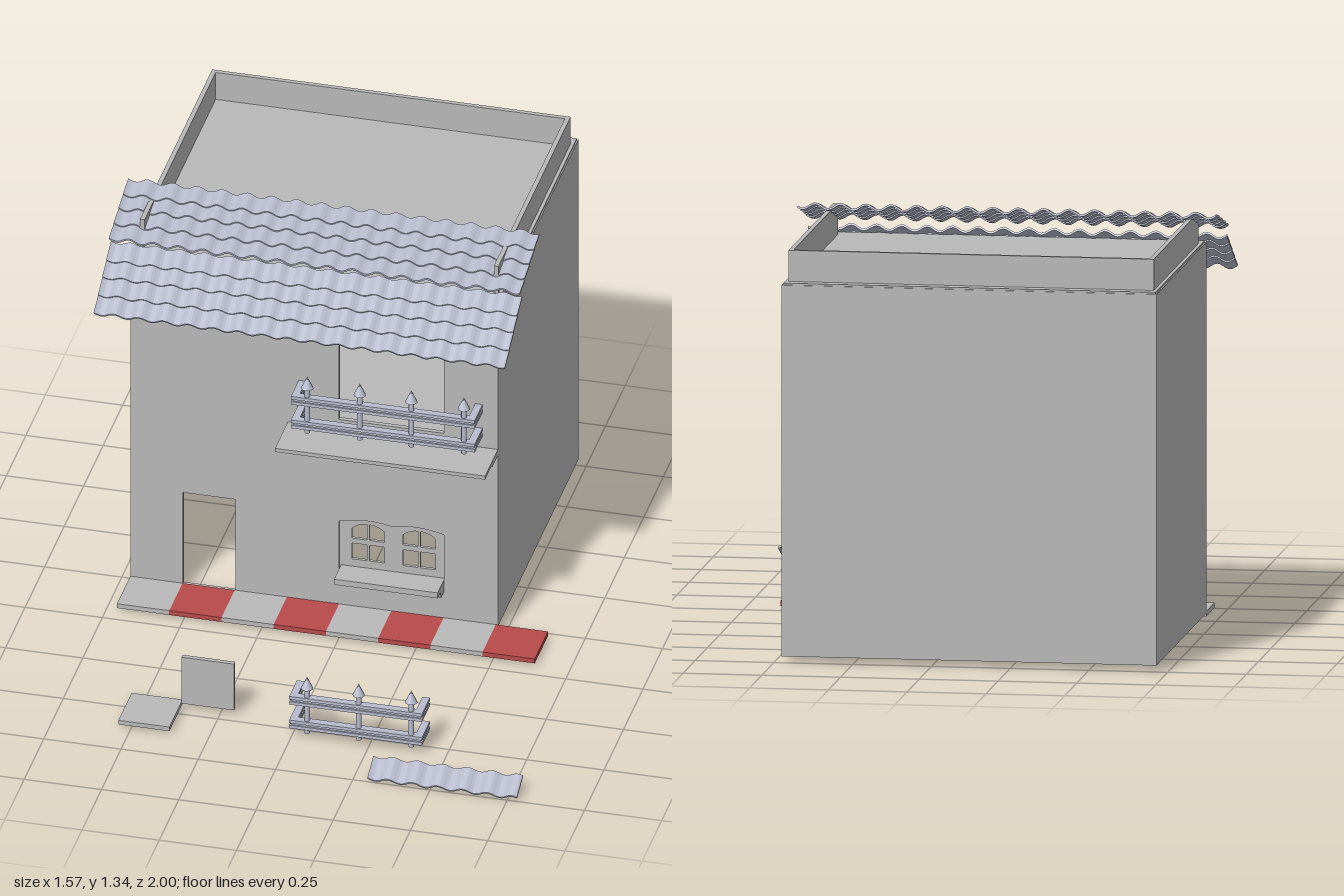
import * as THREE from 'three';

const mat = (name, color) => Object.assign(new THREE.MeshStandardMaterial({ color }), { name });

export function createModel() {
  const plaster = mat('grey plaster', 0xb8b8b8);
  const tileGrey = mat('blue grey tile', 0xb8bccd);
  const red = mat('red paving', 0xb84a4a);
  const model = new THREE.Group();
  model.name = 'house';

  const add = (parent, name, geo, material) => {
    const mesh = new THREE.Mesh(geo, material);
    mesh.name = name;
    parent.add(mesh);
    return mesh;
  };
  // Box given by its limits on each axis
  const box = (parent, name, material, x0, x1, y0, y1, z0, z1) => {
    const mesh = add(parent, name, new THREE.BoxGeometry(x1 - x0, y1 - y0, z1 - z0), material);
    mesh.position.set((x0 + x1) / 2, (y0 + y1) / 2, (z0 + z1) / 2);
    return mesh;
  };
  const poly = (pts, Type = THREE.Shape) => new Type(pts.map(([x, y]) => new THREE.Vector2(x, y)));
  const rect = (x0, x1, y0, y1, Type) => poly([[x0, y0], [x1, y0], [x1, y1], [x0, y1]], Type);
  const extrude = (shape, depth) =>
    new THREE.ExtrudeGeometry(shape, { depth, bevelEnabled: false, curveSegments: 6 });

  // Walls, open at the bottom
  const X0 = -0.715, X1 = 0.475, TOP = 1.2;
  const front = rect(X0, X1, 0.02, TOP);
  front.holes.push(
    rect(-0.545, -0.375, 0.022, 0.36, THREE.Path),
    rect(-0.04, 0.3, 0.13, 0.36, THREE.Path),
    rect(-0.04, 0.3, 0.705, 1.035, THREE.Path));
  add(model, 'frontWall', extrude(front, 0.015), plaster).position.z = 0.015;
  box(model, 'leftWall', plaster, X1 - 0.012, X1, 0.02, TOP, -1, 0.015);
  box(model, 'rightWall', plaster, X0, X0 + 0.012, 0.02, TOP, -1, 0.015);
  box(model, 'backWall', plaster, X0 + 0.012, X1 - 0.012, 0.02, TOP, -1, -0.988);
  box(model, 'upperFloor', plaster, X0 + 0.012, X1 - 0.012, 0.65, 0.67, -0.988, 0.015);
  box(model, 'flatRoof', plaster, X0 + 0.004, X1 - 0.004, 1.19, 1.206, -0.996, 0.02);

  // Parapet on three sides
  box(model, 'parapetRight', plaster, -0.7, -0.685, 1.2, 1.305, -0.96, -0.035);
  box(model, 'parapetLeft', plaster, 0.445, 0.46, 1.2, 1.305, -0.96, -0.035);
  box(model, 'parapetBack', plaster, -0.685, 0.445, 1.2, 1.305, -0.96, -0.945);

  // Window with two casements of four panes, the upper panes arched
  const sash = rect(-0.04, 0.3, 0.13, 0.36);
  for (const cx of [0.0525, 0.2175]) {
    for (const s of [-1, 1]) {
      const a = cx + s * 0.004, b = cx + s * 0.053;
      sash.holes.push(rect(Math.min(a, b), Math.max(a, b), 0.192, 0.25, THREE.Path));
      const pane = new THREE.Path();
      pane.moveTo(a, 0.268);
      pane.lineTo(b, 0.268);
      pane.lineTo(b, 0.305);
      pane.quadraticCurveTo(cx + s * 0.03, 0.325, a, 0.325);
      pane.closePath();
      sash.holes.push(pane);
    }
  }
  add(model, 'windowSash', extrude(sash, 0.01), plaster).position.z = 0.01;
  const lintel = new THREE.Shape();
  lintel.moveTo(-0.04, 0.36);
  lintel.lineTo(-0.04, 0.33);
  lintel.quadraticCurveTo(0.045, 0.355, 0.13, 0.335);
  lintel.quadraticCurveTo(0.215, 0.355, 0.3, 0.33);
  lintel.lineTo(0.3, 0.36);
  add(model, 'windowLintel', extrude(lintel, 0.009), plaster).position.z = 0.02;

  // Ledges: a side profile (z, y) swept along x
  const ledge = (name, x0, x1, pts) => {
    const geo = extrude(poly(pts), x1 - x0).rotateY(-Math.PI / 2).translate(x1, 0, 0);
    add(model, name, geo, plaster);
  };
  ledge('windowSill', -0.035, 0.3, [[0.02, 0.12], [0.065, 0.12], [0.075, 0.145],
    [0.11, 0.145], [0.11, 0.165], [0.02, 0.165]]);
  ledge('balconySlab', -0.205, 0.475, [[0.02, 0.65], [0.1, 0.65], [0.115, 0.659],
    [0.195, 0.659], [0.195, 0.672], [0.02, 0.672]]);

  // Pavement in alternating squares
  for (let i = 0; i < 8; i++) {
    const x = X0 + i * 0.169;
    box(model, 'pavingSquare', i % 2 ? red : plaster, x, x + 0.169, 0.01, 0.026, 0.03, 0.2);
  }

  // Loose slabs in front of the house
  box(model, 'looseFlatSlab', plaster, -0.54, -0.375, 0.01, 0.025, 0.705, 0.875);
  box(model, 'looseUprightSlab', plaster, -0.375, -0.205, 0.02, 0.19, 0.705, 0.72);

  // Railing: grooved rails on three sides with spear posts
  const rail = (parent, x0, x1, y, z0, z1) => {
    for (const s of [-1, 1]) {
      box(parent, 'railBar', tileGrey, x0, x1, y + s * 0.0095 - 0.0055, y + s * 0.0095 + 0.0055, z0, z1);
    }
    box(parent, 'railGroove', tileGrey, x0 + 0.005, x1 - 0.005, y - 0.004, y + 0.004, z0 + 0.005, z1 - 0.005);
  };
  const railing = (name, x0, x1, y, zBack, zFront, posts) => {
    const g = new THREE.Group();
    g.name = name;
    model.add(g);
    for (const ry of [y + 0.03, y + 0.117]) {
      rail(g, x0, x1, ry, zFront - 0.025, zFront);
      rail(g, x0, x0 + 0.024, ry, zBack, zFront - 0.025);
      rail(g, x1 - 0.024, x1, ry, zBack, zFront - 0.025);
    }
    for (const x of posts) {
      add(g, 'post', new THREE.CylinderGeometry(0.009, 0.009, 0.165, 8), tileGrey)
        .position.set(x, y + 0.0825, zFront - 0.0125);
      add(g, 'spearHead', new THREE.ConeGeometry(0.02, 0.042, 8), tileGrey)
        .position.set(x, y + 0.184, zFront - 0.0125);
    }
  };
  railing('balconyRailing', -0.17, 0.425, 0.698, 0.03, 0.13, [-0.12, 0.05, 0.217, 0.387]);
  railing('looseRailing', -0.005, 0.425, 0.02, 0.705, 0.805, [0.05, 0.217, 0.387]);

  // Wavy roof tiles: wide troughs between narrow caps, in stepped rows
  const PITCH = 0.0806;
  const tileProfile = (width) => {
    const top = [];
    const steps = Math.round(width / PITCH * 10);
    for (let i = 0; i <= steps; i++) {
      const t = (i % 10) / 10;
      const h = t < 0.6 ? -0.011 * Math.sin(Math.PI * t / 0.6) : 0.006 * Math.sin(Math.PI * (t - 0.6) / 0.4);
      top.push([i * PITCH / 10, h]);
    }
    const bottom = top.map(([x, h]) => [x, h - 0.007]).reverse();
    return poly([...bottom.reverse(), ...top.reverse()]);
  };
  const tiles = (name, x, width, yTop, zTop, slope, length, rows) => {
    const g = new THREE.Group();
    g.name = name;
    g.position.set(x, yTop, zTop);
    g.rotation.x = slope;
    model.add(g);
    const step = length / rows;
    const geo = extrude(tileProfile(width), step * 1.08);
    for (let r = 0; r < rows; r++) {
      const row = add(g, 'tileRow', geo, tileGrey);
      row.position.set(0, 0, r * step - (r ? step * 0.08 : 0));
      row.rotation.x = -0.07;
    }
  };
  tiles('lowerRoofTiles', -0.785, 1.33, 1.232, 0.0, 0.55, 0.258, 4);
  tiles('upperRoofTiles', -0.785, 1.33, 1.331, -0.222, 0.29, 0.26, 4);
  tiles('looseTiles', 0.298, 0.4836, 0.051, 0.925, 0.5, 0.078, 1);

  return model;
}
